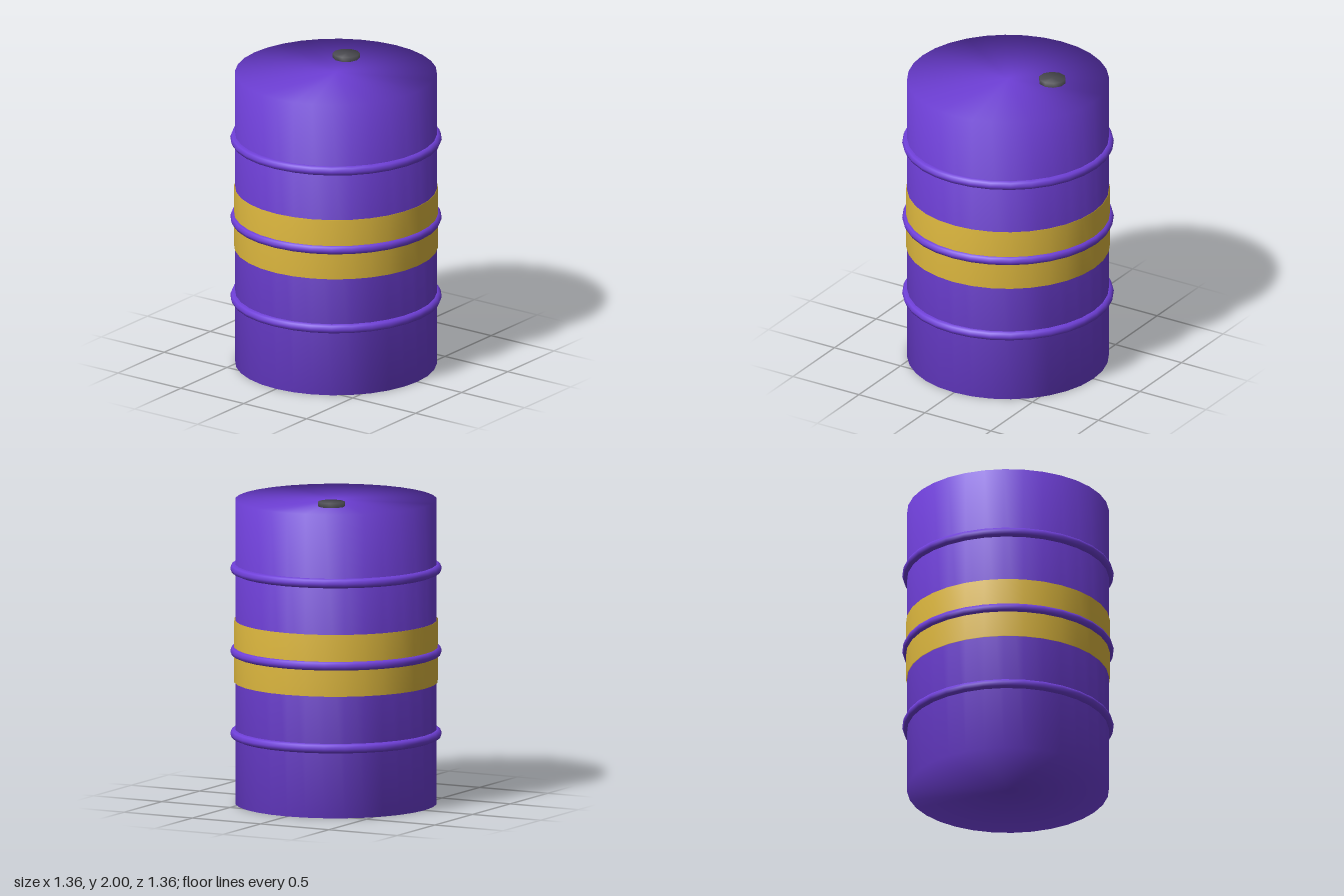
import * as THREE from 'three';

const SIDES = 32;
const RADIUS = 0.648;
const TOP = 1.97;

function material(name, color) {
  const m = new THREE.MeshStandardMaterial({ color });
  m.name = name;
  return m;
}

// Smooth solid of revolution from [radius, height] pairs, bottom to top
function turned(name, profile, sides, mat) {
  const points = profile.map(([r, y]) => new THREE.Vector2(r, y));
  const mesh = new THREE.Mesh(new THREE.LatheGeometry(points, sides), mat);
  mesh.name = name;
  return mesh;
}

export function createModel() {
  const purple = material('purple paint', 0x7040da);
  const yellow = material('yellow paint', 0xdfb93f);
  const grey = material('dark grey metal', 0x4a4a50);

  const barrel = new THREE.Group();
  barrel.name = 'barrel';

  // Drum with closed ends
  barrel.add(turned('drumBody', [[0, 0], [RADIUS, 0], [RADIUS, TOP], [0, TOP]], SIDES, purple));

  // Painted band around the middle
  barrel.add(turned('paintedBand', [[RADIUS - 0.01, 0.79], [0.655, 0.79], [0.655, 1.19], [RADIUS - 0.01, 1.19]], SIDES, yellow));

  // Three rolling hoops
  const hoopGeometry = new THREE.TorusGeometry(RADIUS, 0.031, 8, SIDES).rotateX(Math.PI / 2);
  [0.452, 0.988, 1.524].forEach((y, i) => {
    const hoop = new THREE.Mesh(hoopGeometry, purple);
    hoop.name = `hoop${i + 1}`;
    hoop.position.y = y;
    barrel.add(hoop);
  });

  // Off-centre bung on the lid
  const bung = turned('bung', [[0, 1.94], [0.087, 1.94], [0.087, 2], [0, 2]], 10, grey);
  bung.position.set(0.265, 0, -0.113);
  barrel.add(bung);

  return barrel;
}
